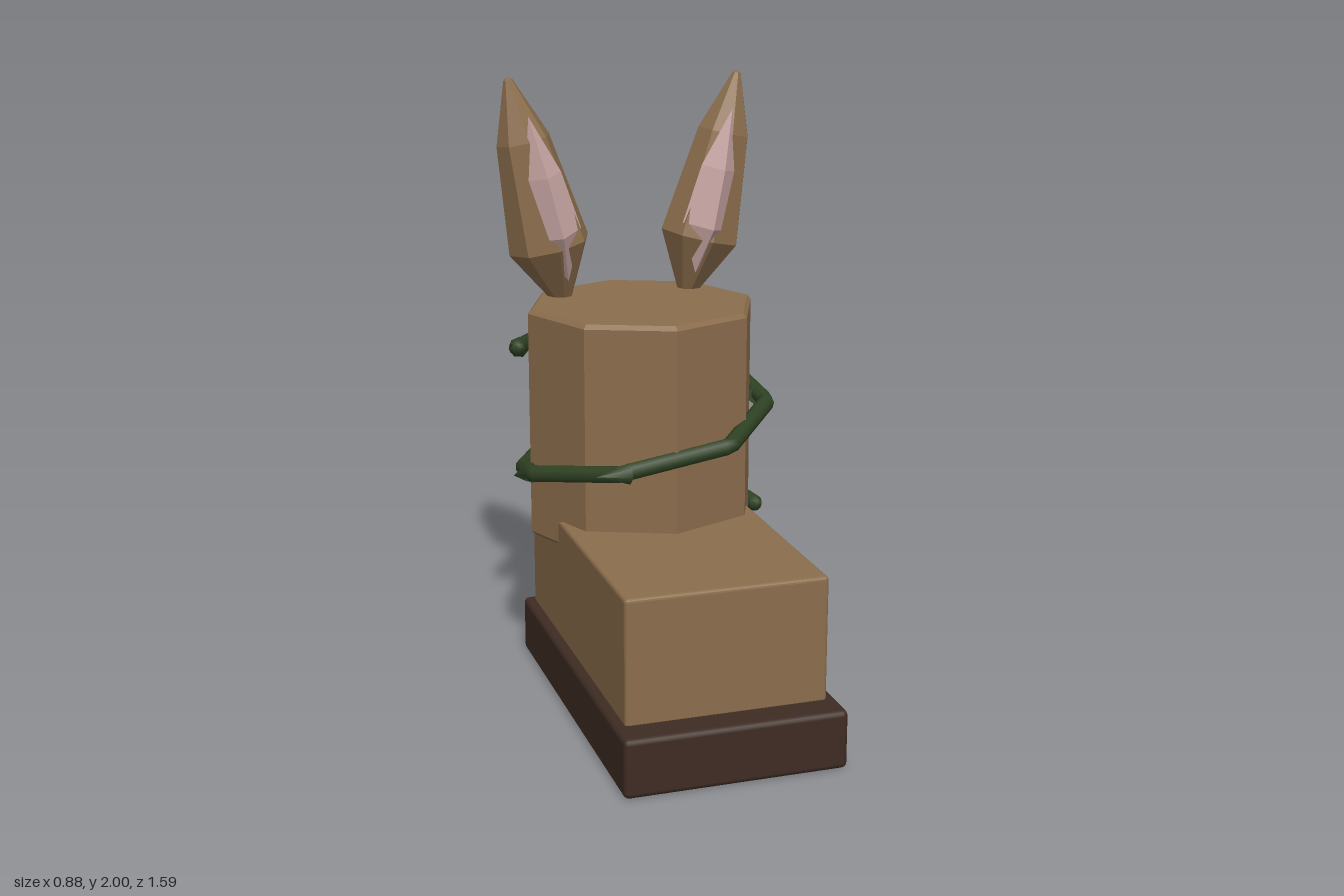
import * as THREE from 'three';
import { RoundedBoxGeometry } from 'three/addons/geometries/RoundedBoxGeometry.js';

const mat = (name, color, flatShading = false) =>
  Object.assign(new THREE.MeshStandardMaterial({ color, flatShading }), { name });

// Faceted solid of revolution from [radius, height] pairs
const facetedLathe = (points, sides) =>
  new THREE.LatheGeometry(points.map(([r, y]) => new THREE.Vector2(r, y)), sides);

export function createModel() {
  const group = new THREE.Group();
  const leather = mat('leather', 0x8b6d4c, true);
  const soleBrown = mat('soleBrown', 0x3e2c23);
  const innerPink = mat('innerPink', 0xc8a6a4, true);
  const vineGreen = mat('vineGreen', 0x2f4223);
  const fluff = mat('fluff', 0xcdced0, true);

  const add = (name, geometry, material, x = 0, y = 0, z = 0) => {
    const mesh = new THREE.Mesh(geometry, material);
    mesh.name = name;
    mesh.position.set(x, y, z);
    group.add(mesh);
    return mesh;
  };

  // Sole, foot and octagonal shaft
  add('sole', new RoundedBoxGeometry(0.71, 0.19, 1.23, 2, 0.018), soleBrown, -0.005, 0.095, 0.185);
  add('foot', new RoundedBoxGeometry(0.645, 0.41, 1.1, 2, 0.012), leather, -0.005, 0.385, 0.15);
  add('shaft', facetedLathe([[0, 0.5], [0.37, 0.5], [0.384, 0.514], [0.384, 1.256],
    [0.37, 1.27], [0, 1.27]], 8), leather, 0, 0, -0.192);

  // Ears: tilted spindles with a slimmer pink one showing at the front
  const earShape = facetedLathe([[0, -0.02], [0.035, 0], [0.138, 0.19], [0.09, 0.55],
    [0.015, 0.75], [0, 0.76]], 8);
  const innerShape = facetedLathe([[0, 0], [0.083, 0.16], [0.062, 0.36], [0, 0.56]], 4);
  for (const [side, label] of [[1, 'left'], [-1, 'right']]) {
    const ear = add(label + 'Ear', earShape, leather, side * 0.22, 1.26, -0.375);
    ear.rotation.z = -side * 0.232;
    ear.scale.z = 1.06;
    const inner = add(label + 'InnerEar', innerShape, innerPink, side * 0.22, 1.335, -0.288);
    inner.rotation.z = -side * 0.23;
  }

  // Vine climbing around the shaft in straight runs
  const path = [
    [0.41, 0.53, -0.2], [0.3, 0.585, -0.51], [0.03, 0.645, -0.61], [-0.28, 0.68, -0.53],
    [-0.39, 0.715, -0.27], [-0.405, 0.75, -0.08], [-0.19, 0.805, 0.185], [0.18, 0.865, 0.185],
    [0.405, 0.925, -0.08], [0.385, 0.965, -0.3], [0.28, 1.01, -0.52], [0.03, 1.045, -0.61],
    [-0.28, 1.09, -0.53], [-0.415, 1.14, -0.22],
  ].map((p) => new THREE.Vector3(...p));
  const curve = new THREE.CatmullRomCurve3(path, false, 'catmullrom', 0);
  add('vine', new THREE.TubeGeometry(curve, 130, 0.028, 8), vineGreen);
  for (const end of [path[0], path[path.length - 1]])
    add('vineEnd', new THREE.SphereGeometry(0.028, 8, 6), vineGreen, end.x, end.y, end.z);

  // Thorns, each from a base on the vine to a tip
  const thorns = [
    [[-0.16, 0.805, 0.185], [-0.27, 0.81, 0.205]],
    [[0.37, 0.95, -0.35], [0.44, 0.985, -0.44]],
    [[0.39, 0.935, -0.13], [0.435, 0.92, -0.2]],
    [[-0.08, 1.06, -0.59], [0.02, 1.05, -0.65]],
    [[-0.05, 0.65, -0.59], [0.02, 0.67, -0.645]],
    [[-0.39, 1.12, -0.3], [-0.445, 1.16, -0.19]],
    [[-0.4, 0.74, -0.12], [-0.44, 0.71, -0.2]],
  ];
  for (const [a, b] of thorns) {
    const base = new THREE.Vector3(...a);
    const dir = new THREE.Vector3(...b).sub(base);
    const length = dir.length();
    const thorn = add('thorn', new THREE.ConeGeometry(0.035, length, 7), vineGreen);
    thorn.position.copy(base).addScaledVector(dir, 0.5);
    thorn.quaternion.setFromUnitVectors(new THREE.Vector3(0, 1, 0), dir.normalize());
  }

  // Fluffy tail: faceted ball with twisted ridges
  const ball = new THREE.SphereGeometry(1, 10, 6);
  const pos = ball.attributes.position;
  const v = new THREE.Vector3();
  for (let i = 0; i < pos.count; i++) {
    v.fromBufferAttribute(pos, i);
    const lump = Math.abs(v.y) > 0.98 ? 0.95
      : 1 + 0.05 * Math.cos(5 * Math.atan2(v.z, v.x) + v.y * 3);
    v.multiplyScalar(lump).applyAxisAngle(new THREE.Vector3(0, 1, 0), v.y * 0.35);
    pos.setXYZ(i, v.x, v.y, v.z);
  }
  ball.rotateX(Math.PI / 2);
  ball.computeVertexNormals();
  const tail = add('tail', ball, fluff, -0.012, 0.41, -0.62);
  tail.scale.set(0.193, 0.205, 0.182);

  return group;
}
